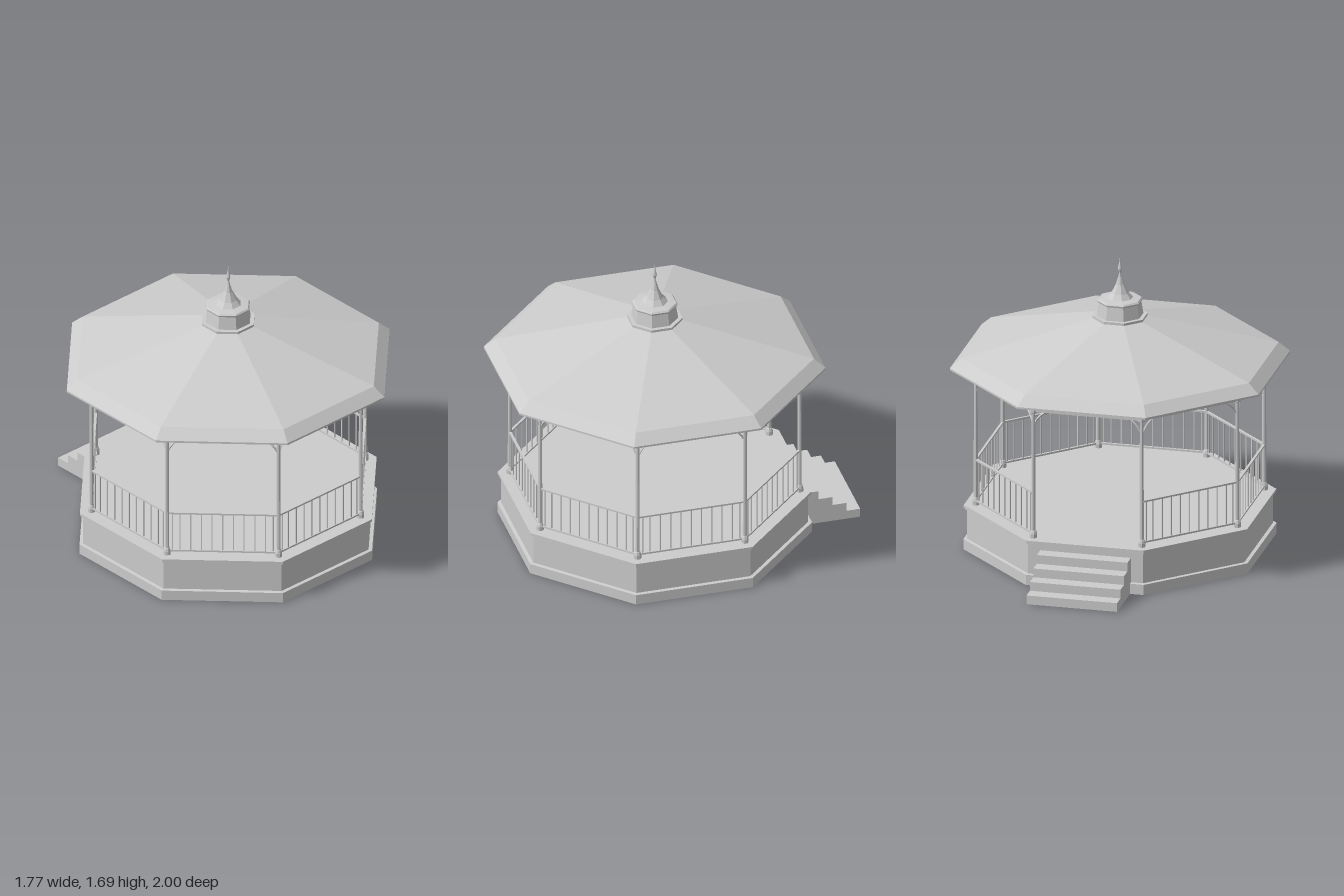
import * as THREE from 'three';

const CZ = 0.115;             // centre of the octagon
const APOTHEM = 0.75;         // distance from centre to each bay line
const HALF = APOTHEM * Math.tan(Math.PI / 8);

export function createModel() {
  const model = new THREE.Group();
  const stone = new THREE.MeshStandardMaterial({ color: 0xcccccc });
  stone.name = 'pale grey';
  stone.flatShading = true;

  const pavilion = new THREE.Group();
  pavilion.name = 'pavilion';
  pavilion.position.z = CZ;
  model.add(pavilion);

  const add = (parent, name, geo, x = 0, y = 0, z = 0) => {
    const mesh = new THREE.Mesh(geo, stone);
    mesh.name = name;
    mesh.position.set(x, y, z);
    parent.add(mesh);
    return mesh;
  };

  // Octagonal solid from [apothem, y] pairs
  const octagon = (pairs) => new THREE.LatheGeometry(
    pairs.map(([a, y]) => new THREE.Vector2(a / Math.cos(Math.PI / 8), y)), 8, Math.PI / 8);

  // Base with plinth, wall, cap moulding and floor
  add(pavilion, 'base', octagon([
    [0, 0], [0.815, 0], [0.815, 0.06], [0.795, 0.062], [0.795, 0.237],
    [0.806, 0.237], [0.806, 0.248], [0.813, 0.248], [0.813, 0.262], [0, 0.262],
  ]));

  // Ring beam
  add(pavilion, 'ringBeam', octagon([
    [0.735, 1.01], [0.762, 1.01], [0.762, 1.07], [0.735, 1.07], [0.735, 1.01],
  ]));

  // Roof shell: soffit, fascia, bevelled eave, slope and ceiling
  add(pavilion, 'roof', octagon([
    [0.735, 1.066], [0.885, 1.066], [0.885, 1.077], [0.825, 1.132],
    [0.125, 1.336], [0, 1.336],
  ]));
  add(pavilion, 'ceiling', octagon([[0, 1.32], [0.735, 1.125], [0.735, 1.066]]));

  // Cupola
  add(pavilion, 'cupola', octagon([
    [0.11, 1.332], [0.144, 1.332], [0.144, 1.346], [0.122, 1.346], [0.11, 1.424],
    [0.116, 1.424], [0.119, 1.434], [0.112, 1.442], [0.068, 1.447],
    [0.046, 1.475], [0.022, 1.525], [0.009, 1.57], [0.004, 1.595],
  ]));
  add(pavilion, 'finial', octagon([
    [0.004, 1.59], [0.011, 1.615], [0.009, 1.632], [0.004, 1.655], [0, 1.69],
  ]));

  // Shared parts
  const post = new THREE.LatheGeometry([
    [0.021, 0.26], [0.021, 0.285], [0.016, 0.302], [0.0125, 0.306], [0.0105, 1.0],
    [0.021, 1.005], [0.021, 1.03], [0.012, 1.034], [0.012, 1.068],
  ].map(([r, y]) => new THREE.Vector2(r, y)), 8, Math.PI / 8);
  const rail = new THREE.BoxGeometry(2 * HALF - 0.02, 0.01, 0.014);
  const baluster = new THREE.BoxGeometry(0.006, 0.24, 0.006);
  const brace = (s) => new THREE.TubeGeometry(new THREE.QuadraticBezierCurve3(
    new THREE.Vector3(s * (HALF - 0.009), 0.94, 0),
    new THREE.Vector3(s * (HALF - 0.026), 0.985, 0),
    new THREE.Vector3(s * (HALF - 0.075), 1.013, 0)), 4, 0.006, 4);
  const braces = [brace(-1), brace(1)];

  // Eight bays; bay 4 is the open entrance at the back
  for (let i = 0; i < 8; i++) {
    const bay = new THREE.Group();
    bay.name = 'bay' + (i + 1);
    bay.rotation.y = i * Math.PI / 4;
    pavilion.add(bay);
    add(bay, 'post', post, HALF, 0, APOTHEM);
    braces.forEach((g) => add(bay, 'brace', g, 0, 0, APOTHEM));
    if (i === 4) continue;
    add(bay, 'topRail', rail, 0, 0.528, APOTHEM);
    add(bay, 'bottomRail', rail, 0, 0.287, APOTHEM);
    for (let k = -4; k <= 4; k++) add(bay, 'baluster', baluster, k * 0.0595, 0.408, APOTHEM);
    for (const s of [-1, 1]) add(bay, 'baluster', baluster, s * 0.281, 0.408, APOTHEM);
  }

  // Entrance steps: one stepped outline extruded across the width
  const outline = new THREE.Shape();
  outline.moveTo(0.66, 0);
  outline.lineTo(1, 0);
  for (let i = 0; i < 4; i++) {
    outline.lineTo(1 - i * 0.08, (i + 1) * 0.0515);
    outline.lineTo(i < 3 ? 0.92 - i * 0.08 : 0.66, (i + 1) * 0.0515);
  }
  const steps = new THREE.ExtrudeGeometry(outline, { depth: 0.52, bevelEnabled: false });
  steps.translate(0, 0, -0.26);
  add(model, 'steps', steps).rotation.y = Math.PI / 2;

  return model;
}
